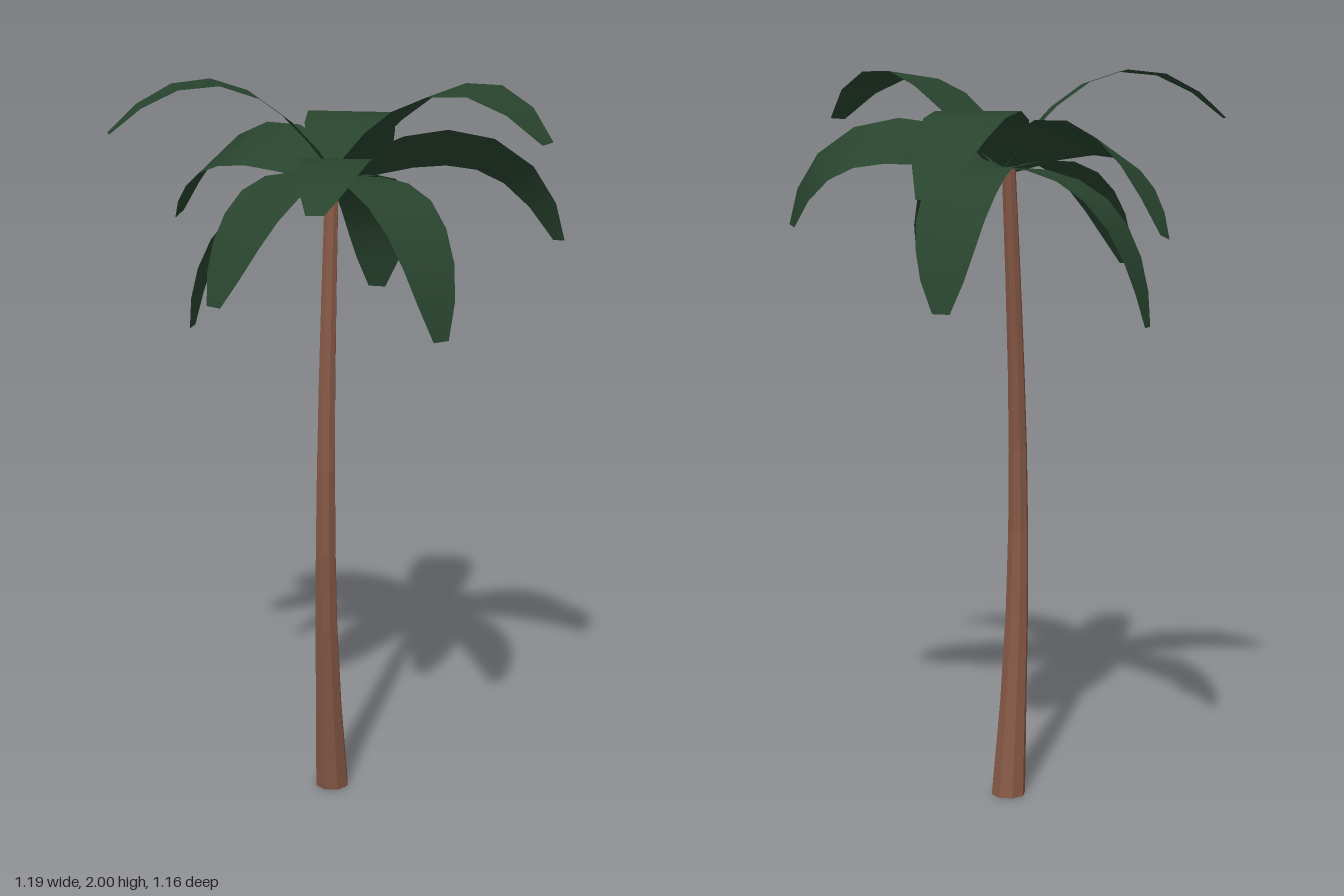
import * as THREE from 'three';

const V = (p) => new THREE.Vector3(...p);
const bark = new THREE.MeshStandardMaterial({ color: 0x855845, flatShading: true });
const leafGreen = new THREE.MeshStandardMaterial({ color: 0x28432e, side: THREE.DoubleSide });

// All fronds spring from here
const CROWN = new THREE.Vector3(-0.005, 1.74, 0.015);
// Blade width along the frond, from stalk to blunt tip
const WIDTHS = [0.08, 0.17, 0.215, 0.23, 0.215, 0.185, 0.135, 0.055];

// Each frond: middle and tip of its midrib, with optional roll and width scale
const FRONDS = [
  // high arching fronds
  { name: 'highFrondLeft', mid: [0.33, 1.99, 0.073], tip: [0.595, 1.87, 0.08], roll: -0.08 },
  { name: 'highFrondRight', mid: [-0.25, 1.99, 0.175], tip: [-0.49, 1.87, 0.355] },
  // middle fronds
  { name: 'backFrond', mid: [-0.095, 1.885, -0.27], tip: [-0.158, 1.675, -0.575] },
  { name: 'frontFrond', mid: [0.12, 1.83, 0.3], tip: [0.2, 1.74, 0.575], width: 0.8 },
  { name: 'sideFrondLeft', mid: [0.3, 1.8, -0.21], tip: [0.53, 1.58, -0.22], roll: 0.55 },
  { name: 'sideFrondRight', mid: [-0.31, 1.81, -0.015], tip: [-0.59, 1.58, -0.175], roll: 0.45 },
  // low drooping fronds
  { name: 'lowFrondLeft', mid: [0.26, 1.69, 0.17], tip: [0.39, 1.39, 0.25], width: 0.85 },
  { name: 'lowFrondFront', mid: [-0.09, 1.72, 0.25], tip: [-0.15, 1.465, 0.435], width: 0.9 },
  { name: 'lowFrondRight', mid: [-0.27, 1.64, 0.08], tip: [-0.4, 1.325, 0.1], width: 0.9 },
  { name: 'lowFrondBack', mid: [-0.02, 1.67, -0.23], tip: [-0.06, 1.38, -0.37], width: 0.9 },
];

// Flat ribbon swept along an arching midrib
function makeFrond({ name, mid, tip, roll = 0, width = 1 }) {
  const end = V(tip);
  // control point that makes the arch pass through the middle point
  const control = V(mid).multiplyScalar(2).addScaledVector(CROWN, -0.5).addScaledVector(end, -0.5);
  const curve = new THREE.QuadraticBezierCurve3(CROWN, control, end);
  const side = end.clone().sub(CROWN).setY(0).normalize().cross(new THREE.Vector3(0, 1, 0));
  const positions = [], index = [];
  const last = WIDTHS.length - 1;
  WIDTHS.forEach((w, i) => {
    const t = i / last;
    const p = curve.getPointAt(t);
    const across = side.clone().applyAxisAngle(curve.getTangentAt(t), -roll);
    for (const s of [-1, 1]) {
      positions.push(...p.clone().addScaledVector(across, s * w * width / 2).toArray());
    }
    if (i < last) {
      const a = i * 2;
      index.push(a, a + 1, a + 2, a + 1, a + 3, a + 2);
    }
  });
  const geo = new THREE.BufferGeometry();
  geo.setAttribute('position', new THREE.Float32BufferAttribute(positions, 3));
  geo.setIndex(index);
  geo.computeVertexNormals();
  const mesh = new THREE.Mesh(geo, leafGreen);
  mesh.name = name;
  return mesh;
}

// Cylinder bent along the trunk line, with a taper
function makeTrunk() {
  const line = new THREE.CatmullRomCurve3([
    [-0.025, 0, 0.01], [-0.01, 0.45, 0.075], [0, 0.85, 0.1], [-0.006, 1.25, 0.075], [-0.018, 1.735, 0.02],
  ].map(V));
  const taper = (t) => 0.019 + 0.016 * (1 - t) + 0.013 * (1 - t) ** 6;
  const geo = new THREE.CylinderGeometry(1, 1, 1, 8, 7);
  const pos = geo.attributes.position;
  for (let i = 0; i < pos.count; i++) {
    const t = THREE.MathUtils.clamp(pos.getY(i) + 0.5, 0, 1);
    const c = line.getPoint(t), r = taper(t);
    pos.setXYZ(i, c.x + pos.getX(i) * r, c.y, c.z + pos.getZ(i) * r);
  }
  geo.computeVertexNormals();
  const mesh = new THREE.Mesh(geo, bark);
  mesh.name = 'trunk';
  return mesh;
}

export function createModel() {
  const palm = new THREE.Group();
  palm.name = 'palmTree';
  const crown = new THREE.Group();
  crown.name = 'crown';
  FRONDS.forEach((f) => crown.add(makeFrond(f)));
  palm.add(makeTrunk(), crown);
  return palm;
}
